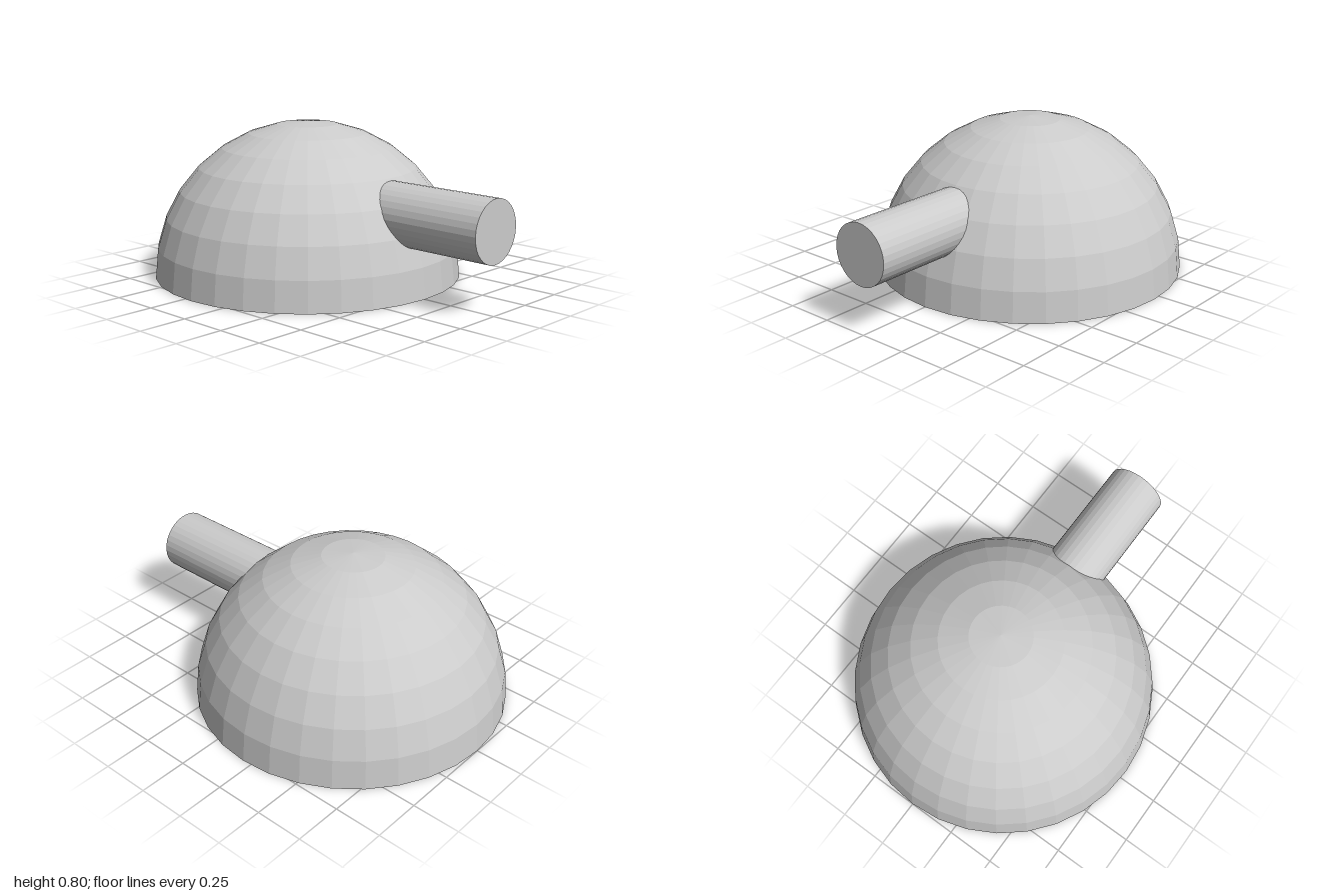
import * as THREE from 'three';

export function createModel() {
  const group = new THREE.Group();
  const radius = 0.797, domeZ = -1 + radius;
  const tubeBack = 0.15, tubeFront = 1;
  const material = new THREE.MeshStandardMaterial({
    color: 0xcccccc, flatShading: true, side: THREE.DoubleSide,
  });

  // open hemispherical shell
  const dome = new THREE.Mesh(
    new THREE.SphereGeometry(radius, 32, 8, 0, Math.PI * 2, 0, Math.PI / 2), material);
  dome.name = 'dome';
  dome.position.z = domeZ;
  group.add(dome);

  // capped barrel passing through the front wall, ending inside the dome
  const barrel = new THREE.Mesh(
    new THREE.CylinderGeometry(0.155, 0.155, tubeFront - tubeBack, 32), material);
  barrel.name = 'barrel';
  barrel.rotation.x = Math.PI / 2;
  barrel.position.set(0, radius / 2, (tubeFront + tubeBack) / 2);
  group.add(barrel);

  return group;
}
